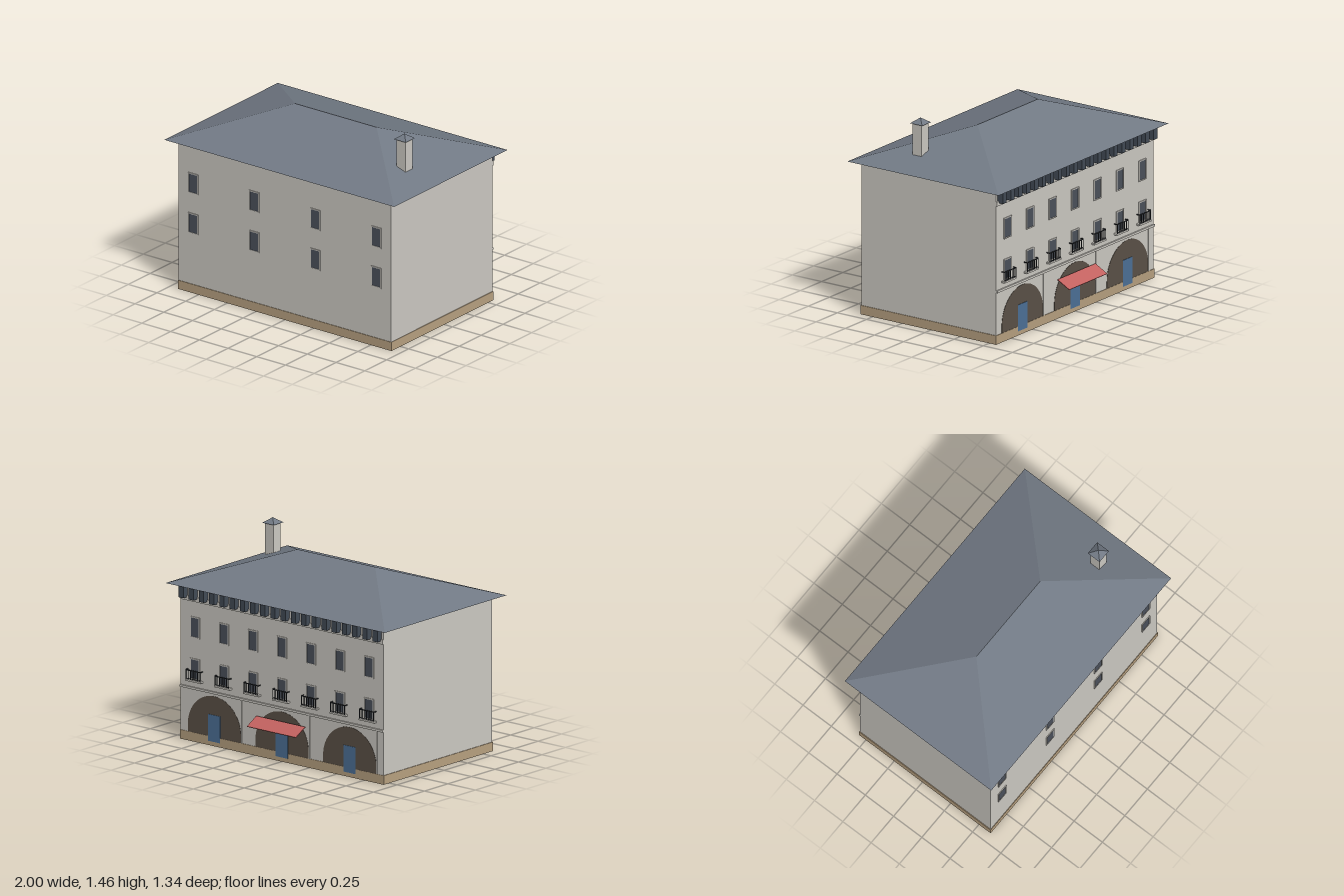
import * as THREE from 'three';

const mat = (name, color) => Object.assign(new THREE.MeshStandardMaterial({ color }), { name });

export function createModel() {
  const M = {
    wall: mat('wall plaster', 0xcfccc5),
    plinth: mat('tan stone', 0xbaa382),
    roof: mat('roof slate', 0x727a85),
    glass: mat('window glass', 0x4c525c),
    bracket: mat('eave bracket', 0x434c57),
    iron: mat('railing iron', 0x2e3236),
    arch: mat('arch shade', 0x5c5248),
    door: mat('door blue', 0x4d7299),
    awning: mat('awning red', 0xc46260),
  };
  const house = new THREE.Group();
  house.name = 'house';

  const add = (parent, name, geo, material) => {
    const mesh = new THREE.Mesh(geo, material);
    mesh.name = name;
    parent.add(mesh);
    return mesh;
  };
  // box given by its minimum and maximum corners
  const box = (parent, name, material, x0, x1, y0, y1, z0, z1) => {
    const mesh = add(parent, name, new THREE.BoxGeometry(x1 - x0, y1 - y0, z1 - z0), material);
    mesh.position.set((x0 + x1) / 2, (y0 + y1) / 2, (z0 + z1) / 2);
    return mesh;
  };
  const group = (name, parent = house) => {
    const g = new THREE.Group();
    g.name = name;
    parent.add(g);
    return g;
  };

  const BACK = -0.555, FRONT = 0.6;

  // main block and plinth
  box(house, 'walls', M.wall, -0.925, 0.925, 0.05, 1.12, BACK, FRONT);
  box(house, 'plinth', M.plinth, -0.93, 0.93, 0, 0.065, BACK - 0.004, FRONT + 0.004);

  // hipped roof: four eave corners and two ridge ends
  const e = 1.118, r = 1.34;
  const P = [
    [-1, e, 0.665], [1, e, 0.665], [1, e, -0.63], [-1, e, -0.63],
    [-0.355, r, 0.02], [0.355, r, 0.02],
  ];
  const faces = [0, 1, 5, 0, 5, 4, 1, 2, 5, 2, 3, 4, 2, 4, 5, 3, 0, 4, 0, 3, 2, 0, 2, 1];
  const roofGeo = new THREE.BufferGeometry();
  roofGeo.setAttribute('position', new THREE.Float32BufferAttribute(faces.flatMap(i => P[i]), 3));
  roofGeo.computeVertexNormals();
  add(house, 'roof', roofGeo, M.roof);

  // chimney with a pyramid cap
  const chimney = group('chimney');
  box(chimney, 'chimneyStack', M.wall, 0.711, 0.789, 1.18, 1.42, 0.181, 0.259);
  const capGeo = new THREE.ConeGeometry(0.052 * Math.SQRT2, 0.038, 4).toNonIndexed();
  capGeo.rotateY(Math.PI / 4);
  capGeo.computeVertexNormals();
  add(chimney, 'chimneyCap', capGeo, M.roof).position.set(0.75, 1.439, 0.22);

  // window: thin frame strips around a thin pane; dir is the outward z direction
  const addWindow = (x, y, z, dir) => {
    const w = group('window');
    const plate = (name, m, x0, x1, y0, y1, depth) =>
      box(w, name, m, x0, x1, y0, y1, -0.002, depth);
    plate('pane', M.glass, -0.036, 0.036, -0.068, 0.068, 0.003);
    for (const s of [-1, 1]) {
      plate('frameSide', M.wall, s * 0.04 - 0.004, s * 0.04 + 0.004, -0.076, 0.076, 0.006);
      plate('frameRail', M.wall, -0.036, 0.036, s * 0.072 - 0.004, s * 0.072 + 0.004, 0.006);
    }
    w.position.set(x, y, z);
    if (dir < 0) w.rotation.y = Math.PI;
  };
  for (const y of [0.52, 0.82]) {
    for (const x of [-0.798, -0.267, 0.267, 0.798]) addWindow(x, y, FRONT, 1);
    for (let k = -3; k <= 3; k++) addWindow(k * 0.264, y, BACK, -1);
  }

  // balconies under the lower back windows
  for (let k = -3; k <= 3; k++) {
    const b = group('balcony');
    b.position.set(k * 0.264, 0, 0);
    const zo = BACK - 0.026, h = 0.066;
    box(b, 'balconySlab', M.wall, -h - 0.004, h + 0.004, 0.433, 0.445, zo - 0.003, BACK);
    box(b, 'topRail', M.iron, -h, h, 0.509, 0.516, zo - 0.002, zo + 0.002);
    box(b, 'bottomRail', M.iron, -h, h, 0.45, 0.454, zo - 0.002, zo + 0.002);
    for (let i = 0; i < 7; i++) {
      const x = -h + 0.0025 + i * (2 * h - 0.005) / 6;
      box(b, 'baluster', M.iron, x - 0.0025, x + 0.0025, 0.445, 0.512, zo - 0.002, zo + 0.002);
    }
    for (const s of [-1, 1])
      box(b, 'sideRail', M.iron, s * h - 0.002, s * h + 0.002, 0.509, 0.516, zo, BACK);
  }

  // arcade: dark arches with doors, and slim pilaster strips beside them
  const R = 0.242, springY = 0.115;
  const archShape = new THREE.Shape();
  archShape.moveTo(-R, 0.06);
  archShape.lineTo(R, 0.06);
  archShape.lineTo(R, springY);
  archShape.absarc(0, springY, R, 0, Math.PI, false);
  const archGeo = new THREE.ExtrudeGeometry(archShape, { depth: 0.004, bevelEnabled: false, curveSegments: 24 });
  for (const x of [-0.617, 0, 0.617]) {
    const bay = group('archBay');
    bay.position.x = x;
    add(bay, 'arch', archGeo, M.arch).position.z = BACK - 0.002;
    box(bay, 'door', M.door, -0.055, 0.055, 0.03, 0.222, BACK - 0.005, BACK);
    box(bay, 'pilasterStrip', M.wall, -0.252, -0.244, 0.065, 0.375, BACK - 0.005, BACK);
  }

  // sloping awning over the middle door
  const dy = 0.055, dz = 0.1;
  const awning = add(house, 'awning', new THREE.BoxGeometry(0.445, 0.005, Math.hypot(dy, dz)), M.awning);
  awning.position.set(0, 0.262, -0.619);
  awning.rotation.x = -Math.atan2(dy, dz);

  // string course, cornice and eave brackets
  box(house, 'stringCourse', M.wall, -0.925, 0.925, 0.375, 0.391, BACK - 0.011, BACK);
  box(house, 'cornice', M.wall, -0.925, 0.925, 1.006, 1.04, BACK - 0.01, BACK);
  const N = 20;
  for (let i = 0; i < N; i++) {
    const x = -0.885 + i * 1.77 / (N - 1);
    box(house, 'eaveBracket', M.bracket, x - 0.022, x + 0.022, 1.027, 1.118, BACK - 0.045, BACK);
  }
  return house;
}
